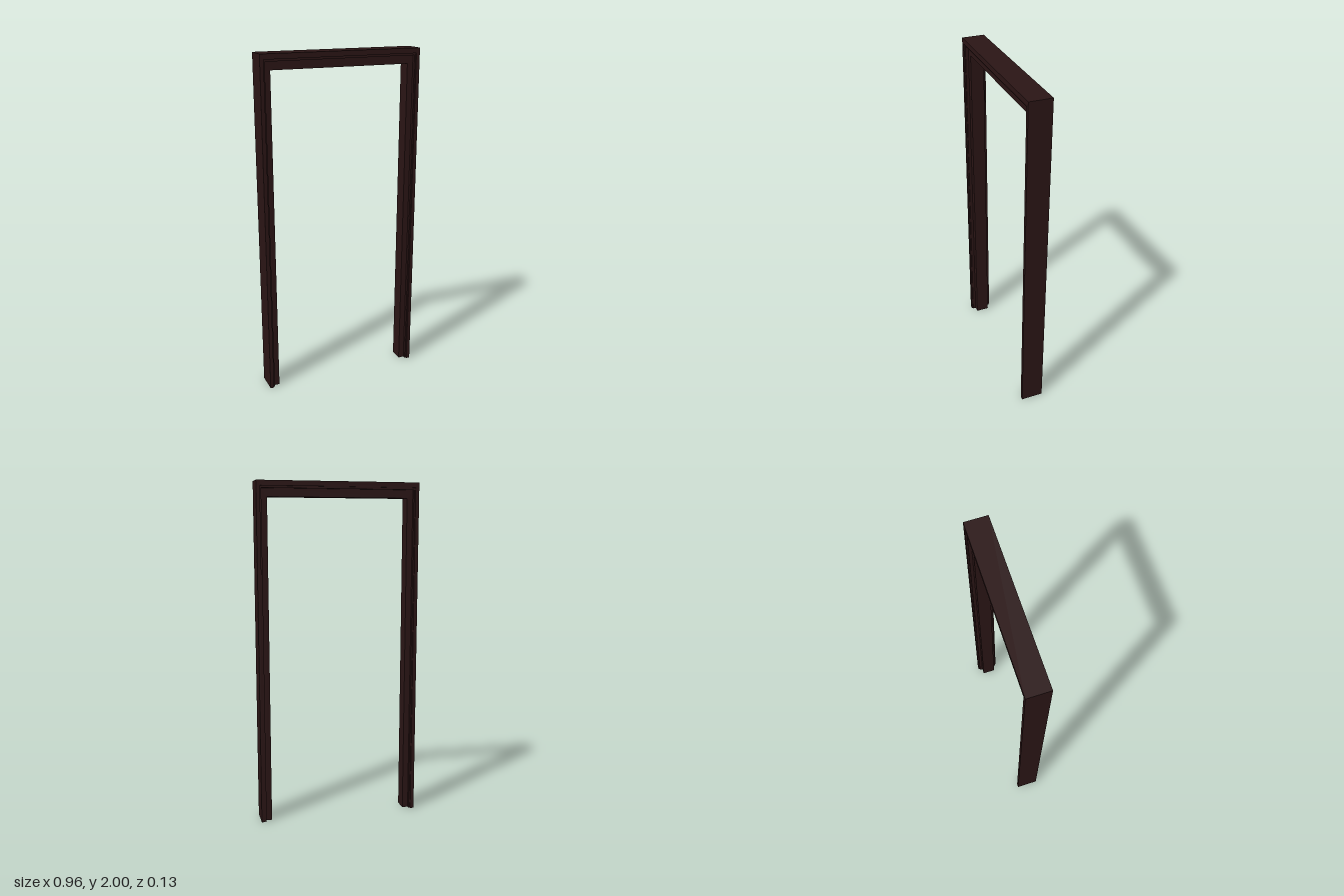
import * as THREE from 'three';

const HALF_WIDTH = 0.48, HEIGHT = 2;

// Half of the moulding section: [offset in from jamb edge, offset down from head edge, z]
const half = [
  [0, 0, 0.066],
  [0.022, 0.03, 0.066],
  [0.022, 0.03, 0.058],
  [0.03, 0.042, 0.058],
  [0.03, 0.042, 0.04],
  [0.065, 0.09, 0.04],
];
// Full closed section, the same on the front and the back
const section = [...half, ...half.map(([a, b, z]) => [a, b, -z]).reverse()];

// Section rings at the left foot, both mitred corners and the other foot
const rings = [
  section.map(([a, , z]) => [-HALF_WIDTH + a, 0, z]),
  section.map(([a, b, z]) => [-HALF_WIDTH + a, HEIGHT - b, z]),
  section.map(([a, b, z]) => [HALF_WIDTH - a, HEIGHT - b, z]),
  section.map(([a, , z]) => [HALF_WIDTH - a, 0, z]),
];

// Underside of a jamb, always facing down
function addFoot(positions, ring) {
  const contour = ring.map(([x, , z]) => new THREE.Vector2(x, z));
  for (const [i, j, k] of THREE.ShapeUtils.triangulateShape(contour, [])) {
    const p = contour[i], q = contour[j], r = contour[k];
    const cross = (q.x - p.x) * (r.y - p.y) - (q.y - p.y) * (r.x - p.x);
    const order = cross > 0 ? [i, j, k] : [i, k, j];
    for (const n of order) positions.push(...ring[n]);
  }
}

// One straight member between two section rings
function member(name, start, end, foot, material) {
  const positions = [];
  start.forEach((p, i) => {
    const j = (i + 1) % start.length;
    const q = start[j], q2 = end[j], p2 = end[i];
    positions.push(...p, ...q, ...q2, ...p, ...q2, ...p2);
  });
  if (foot) addFoot(positions, foot);
  const geometry = new THREE.BufferGeometry();
  geometry.setAttribute('position', new THREE.Float32BufferAttribute(positions, 3));
  geometry.computeVertexNormals();
  const mesh = new THREE.Mesh(geometry, material);
  mesh.name = name;
  return mesh;
}

export function createModel() {
  const group = new THREE.Group();
  group.name = 'doorFrame';
  const wood = new THREE.MeshStandardMaterial({ color: 0x2a1515 });
  group.add(
    member('rightJamb', rings[0], rings[1], rings[0], wood),
    member('head', rings[1], rings[2], null, wood),
    member('leftJamb', rings[2], rings[3], rings[3], wood),
  );
  return group;
}
